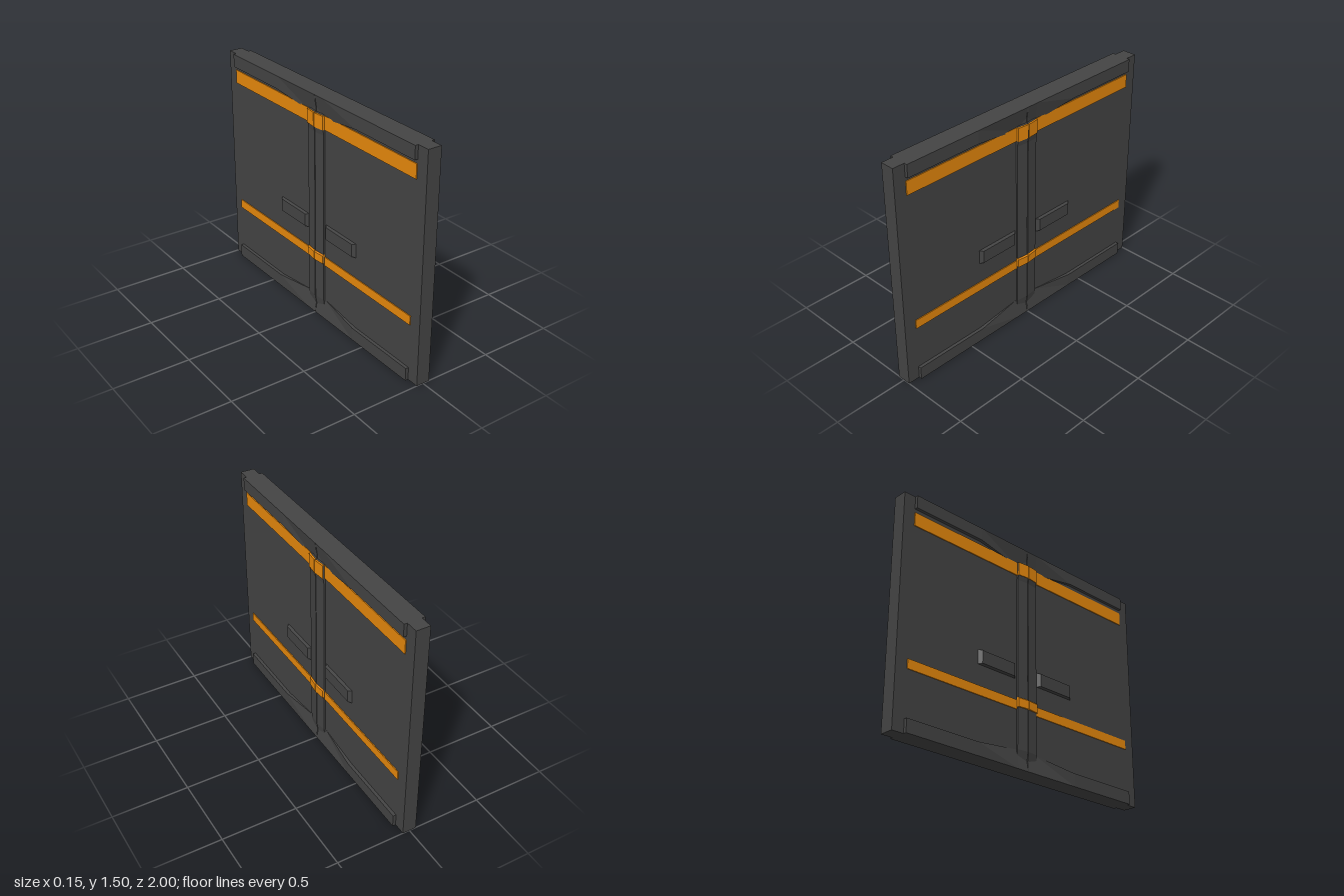
import * as THREE from 'three';

const dark = new THREE.MeshStandardMaterial({ color: 0x444444, flatShading: true });
const orange = new THREE.MeshStandardMaterial({ color: 0xe8890c, flatShading: true });

// Joins rings of [x, y] (counterclockwise seen from +z) placed at rising z
function loft(sections) {
  const pos = [];
  const put = (s, j) => pos.push(s.ring[j][0], s.ring[j][1], s.z);
  const n = sections[0].ring.length;
  for (let i = 0; i < sections.length - 1; i++) {
    const s = sections[i], t = sections[i + 1];
    for (let j = 0; j < n; j++) {
      const k = (j + 1) % n;
      put(s, j); put(s, k); put(t, k);
      put(s, j); put(t, k); put(t, j);
    }
  }
  const cap = (s, flip) => {
    const pts = s.ring.map(([x, y]) => new THREE.Vector2(x, y));
    for (const [a, b, c] of THREE.ShapeUtils.triangulateShape(pts, [])) {
      put(s, a); put(s, flip ? c : b); put(s, flip ? b : c);
    }
  };
  cap(sections[0], true);
  cap(sections[sections.length - 1], false);
  const g = new THREE.BufferGeometry();
  g.setAttribute('position', new THREE.Float32BufferAttribute(pos, 3));
  g.computeVertexNormals();
  return g;
}

function add(parent, name, geometry, material) {
  const m = new THREE.Mesh(geometry, material);
  m.name = name;
  parent.add(m);
  return m;
}

function block(parent, name, material, [x0, x1], [y0, y1], [z0, z1]) {
  const m = add(parent, name, new THREE.BoxGeometry(x1 - x0, y1 - y0, z1 - z0), material);
  m.position.set((x0 + x1) / 2, (y0 + y1) / 2, (z0 + z1) / 2);
}

const CORE = 0.046, INNER = 0.035, RAIL = 0.067;
const GAP = 0.003, POST = 0.08, END = 0.92;

// Places z stations on either side of the centre seam, always in rising z
const stations = (side, list) => {
  const s = list.map(([z, ring]) => ({ z: z * side, ring }));
  return side < 0 ? s.reverse() : s;
};

// Outer profile [x, y] from bottom to top, closed on the core; drop lowers the outer points
const ridgeRing = (profile, drop) => [
  [INNER, profile[0][1]],
  ...profile.map(([x, y]) => [x - drop, y]),
  [INNER, profile[profile.length - 1][1]],
];
const ridge = (side, profile) => loft(stations(side, [
  [GAP, ridgeRing(profile, 0)],
  [POST, ridgeRing(profile, 0.008)],
]));

const postProfile = [
  [0.054, 0.05], [0.065, 0.125], [0.065, 1.265], [0.07, 1.30],
  [0.07, 1.385], [0.055, 1.395], [0.055, 1.46],
];

// Rails thin out towards the post along their inner edge
const topRing = (x, y) => [[INNER, y], [x, y], [RAIL, 1.5], [INNER, 1.5]];
const bottomRing = (x, y) => [[INNER, 0], [RAIL, 0], [x, y], [INNER, y]];
const rail = (side, ring, yCentre, yEnd) => loft(stations(side, [
  [GAP, ring(CORE, yCentre)],
  [POST, ring(CORE, yCentre)],
  [0.4, ring(RAIL, yEnd)],
  [END, ring(RAIL, yEnd)],
]));

// Bar with sloped ends and slightly sloped top and bottom
function handle(side) {
  const g = new THREE.BoxGeometry(0.03, 0.1, 0.33);
  const p = g.attributes.position;
  for (let i = 0; i < p.count; i++) {
    if (p.getX(i) > 0) {
      p.setY(i, p.getY(i) * 0.84);
      p.setZ(i, p.getZ(i) * 0.8);
    }
  }
  g.translate(0.05, 0.625, side * 0.245);
  g.computeVertexNormals();
  return g;
}

function doorFace() {
  const face = new THREE.Group();
  for (const side of [1, -1]) {
    add(face, 'centrePost', ridge(side, postProfile), dark);
    add(face, 'topRail', rail(side, topRing, 1.37, 1.415), dark);
    add(face, 'bottomRail', rail(side, bottomRing, 0.125, 0.085), dark);
    add(face, 'handle', handle(side), dark);

    // Stripes on the panel and their raised continuation on the post
    const span = side > 0 ? [POST, END] : [-END, -POST];
    block(face, 'upperStripe', orange, [INNER, 0.052], [1.30, 1.39], span);
    block(face, 'lowerStripe', orange, [INNER, 0.052], [0.38, 0.44], span);
    add(face, 'upperPostStripe', ridge(side, [[0.074, 1.30], [0.074, 1.39]]), orange);
    add(face, 'lowerPostStripe', ridge(side, [[0.074, 0.395], [0.074, 0.45], [0.066, 0.457]]), orange);
  }
  // Bridges closing the seam at both ends
  block(face, 'seamCapTop', dark, [INNER, 0.065], [1.46, 1.5], [-GAP, GAP]);
  block(face, 'seamCapBottom', dark, [INNER, 0.065], [0, 0.04], [-GAP, GAP]);
  return face;
}

export function createModel() {
  const model = new THREE.Group();
  model.name = 'doubleDoor';
  block(model, 'corePanel', dark, [-CORE, CORE], [0, 1.5], [-1, 1]);
  const left = doorFace();
  left.name = 'leftFace';
  const right = doorFace();
  right.name = 'rightFace';
  right.rotation.y = Math.PI;
  model.add(left, right);
  return model;
}
